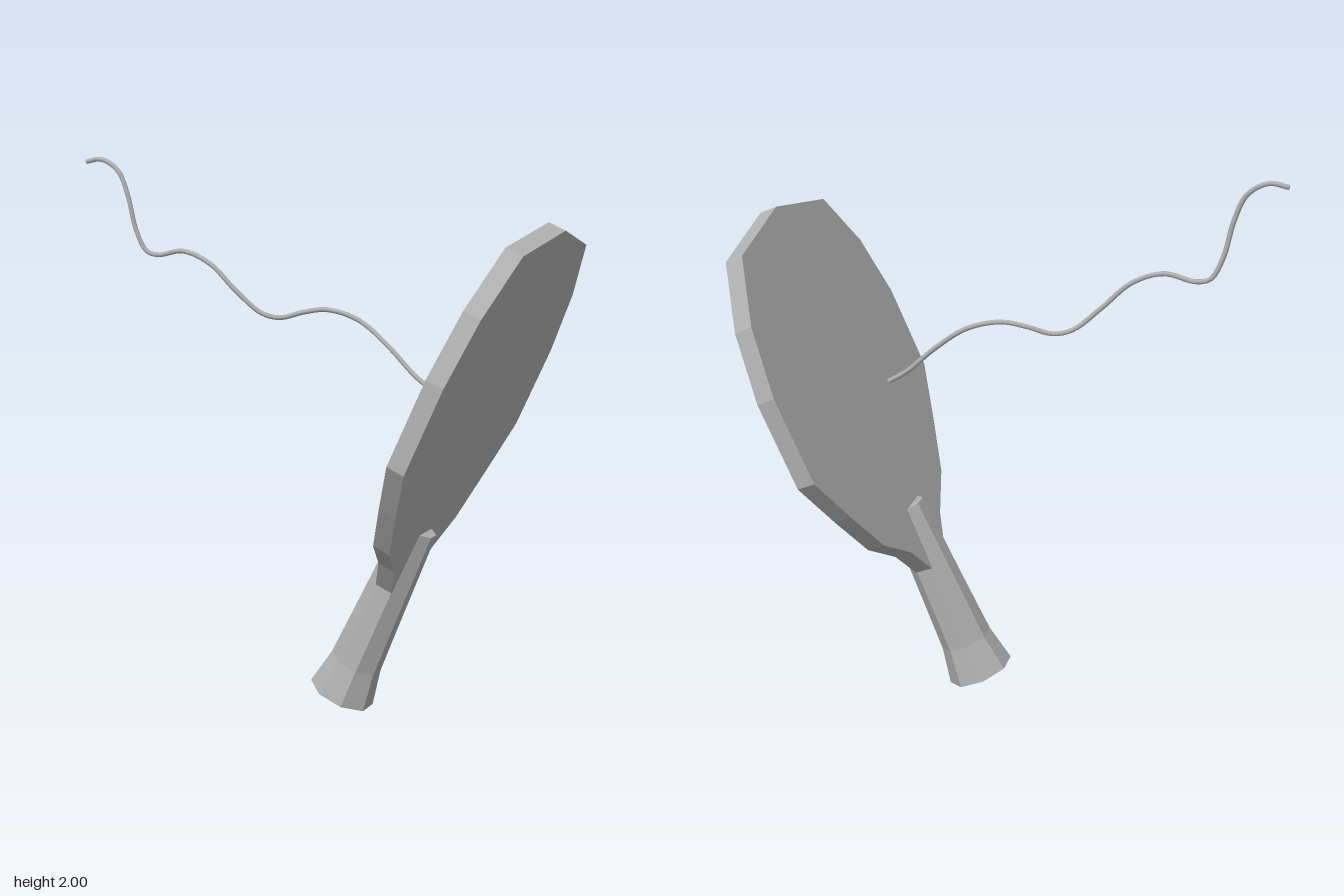
import * as THREE from 'three';

export function createModel() {
  const model = new THREE.Group();
  const grey = new THREE.MeshStandardMaterial({ color: 0xb0b0b0, flatShading: true });
  grey.name = 'plain grey';
  const cordGrey = grey.clone();
  cordGrey.flatShading = false;

  const add = (parent, name, geometry, material) => {
    const mesh = new THREE.Mesh(geometry, material);
    mesh.name = name;
    parent.add(mesh);
    return mesh;
  };

  // Paddle: built upright, then leaned over and twisted about its own axis
  const paddle = new THREE.Group();
  paddle.name = 'paddle';
  const lean = THREE.MathUtils.degToRad(23);
  const twist = THREE.MathUtils.degToRad(8.8);
  const up = new THREE.Vector3(Math.sin(lean), Math.cos(lean), 0);
  const face = new THREE.Vector3(Math.cos(lean), -Math.sin(lean), 0)
    .multiplyScalar(Math.cos(twist)).add(new THREE.Vector3(0, 0, Math.sin(twist)));
  const side = new THREE.Vector3().crossVectors(up, face);
  paddle.quaternion.setFromRotationMatrix(new THREE.Matrix4().makeBasis(side, up, face));
  paddle.position.set(0.13, 0.05, 0);
  model.add(paddle);

  // Blade: half outline from neck to shoulder, mirrored, with one point at the top
  const half = [
    [0.083, 0.48], [0.177, 0.595], [0.34, 0.705], [0.47, 0.88], [0.6, 1.07],
    [0.6, 1.39], [0.53, 1.63], [0.38, 1.843],
  ];
  const outline = [
    ...half, [0, 1.917], ...half.map(([x, y]) => [-x, y]).reverse(),
  ].map(([x, y]) => new THREE.Vector2(x, y));
  const thickness = 0.066;
  const blade = new THREE.ExtrudeGeometry(new THREE.Shape(outline), {
    depth: thickness, bevelEnabled: false,
  });
  blade.translate(0, 0, -thickness / 2);
  add(paddle, 'blade', blade, grey);

  // Handle: eight-sided grip flaring towards its end
  const grip = [[0, 0], [0.125, 0], [0.098, 0.14], [0.087, 0.38], [0.073, 0.72], [0, 0.72]]
    .map(([r, y]) => new THREE.Vector2(r, y));
  add(paddle, 'handle', new THREE.LatheGeometry(grip, 8, Math.PI / 8), grey);

  // Cord: wavy string trailing from the back of the blade
  const path = new THREE.CatmullRomCurve3([
    [0.45, 1.21, -0.05], [0.38, 1.255, -0.067], [0.27, 1.355, -0.097], [0.15, 1.44, -0.128],
    [0.03, 1.47, -0.14], [-0.06, 1.457, -0.142], [-0.15, 1.433, -0.137], [-0.22, 1.448, -0.133],
    [-0.32, 1.53, -0.129], [-0.42, 1.622, -0.138], [-0.53, 1.663, -0.155], [-0.64, 1.643, -0.175],
    [-0.69, 1.657, -0.184], [-0.73, 1.735, -0.186], [-0.76, 1.86, -0.188], [-0.8, 1.95, -0.195],
    [-0.87, 1.99, -0.207], [-0.935, 1.98, -0.219],
  ].map((p) => new THREE.Vector3(...p)));
  add(model, 'cord', new THREE.TubeGeometry(path, 100, 0.009, 8), cordGrey);

  // Cord ends: small discs closing the tube
  [0, 1].forEach((t) => {
    const cap = add(model, 'cordEnd', new THREE.CircleGeometry(0.009, 8), cordGrey);
    const outward = path.getTangentAt(t).multiplyScalar(t ? 1 : -1);
    cap.position.copy(path.getPointAt(t));
    cap.quaternion.setFromUnitVectors(new THREE.Vector3(0, 0, 1), outward);
  });

  return model;
}
